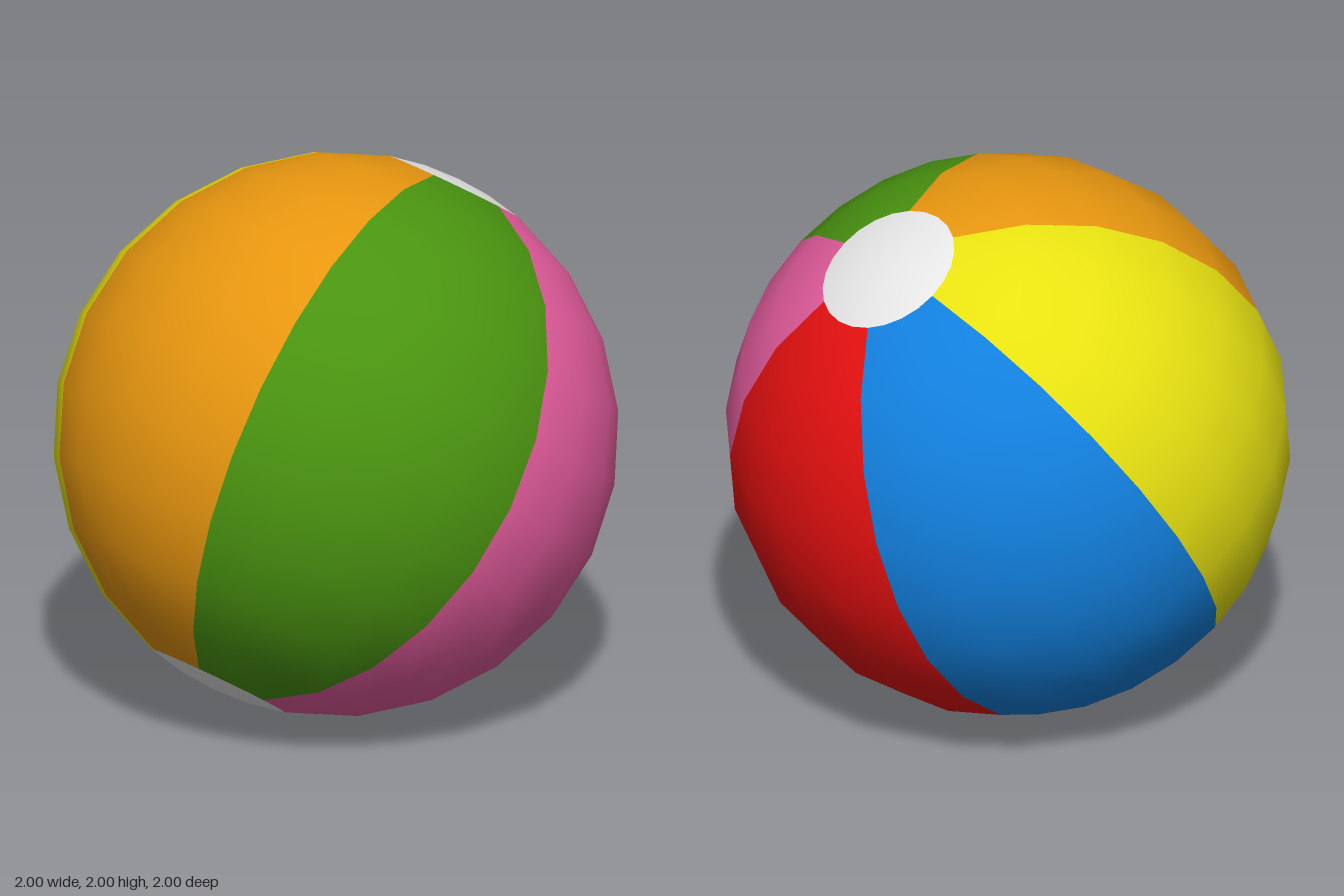
import * as THREE from 'three';

const TILT = THREE.MathUtils.degToRad(33); // ball axis leans towards +x
const STEP = Math.PI / 12; // 15 degrees between rings and meridians

const paint = (name, color) => {
  const material = new THREE.MeshStandardMaterial({ color });
  material.name = name;
  return material;
};

export function createModel() {
  const ball = new THREE.Group();
  ball.name = 'beachBall';

  const add = (name, material, ...sphereArgs) => {
    const mesh = new THREE.Mesh(new THREE.SphereGeometry(1, ...sphereArgs), material);
    mesh.name = name;
    ball.add(mesh);
  };

  // Six coloured panels, in order around the axis starting at -x
  const panels = [
    ['orange', 0xf09c10],
    ['green', 0x4a9410],
    ['pink', 0xee60a4],
    ['red', 0xf01111],
    ['blue', 0x1280de],
    ['yellow', 0xeee811],
  ];
  panels.forEach(([name, color], i) => {
    add(name + 'Panel', paint(name, color), 4, 10, (4 * i - 2) * STEP, 4 * STEP, STEP, 10 * STEP);
  });

  // Round white caps where the panels meet
  const white = paint('white', 0xececec);
  add('topCap', white, 24, 1, -2 * STEP, Math.PI * 2, 0, STEP);
  add('bottomCap', white, 24, 1, -2 * STEP, Math.PI * 2, 11 * STEP, STEP);

  ball.rotation.z = -TILT;
  ball.position.y = 1;

  const model = new THREE.Group();
  model.name = 'model';
  model.add(ball);
  return model;
}
